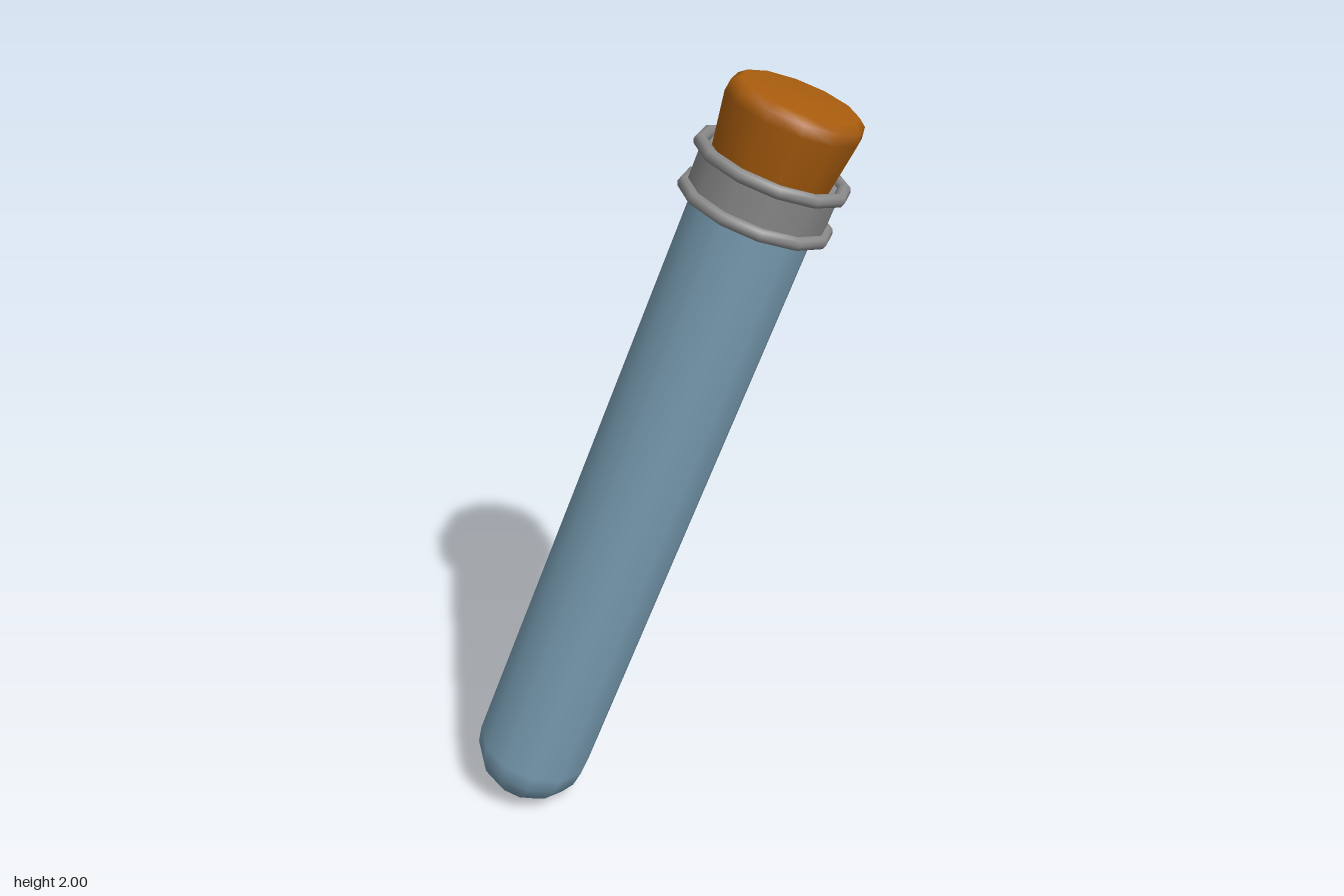
import * as THREE from 'three';

const SIDES = 12;

export function createModel() {
  const blue = new THREE.MeshStandardMaterial({ name: 'blueGlass', color: 0x7a9fb5 });
  const brown = new THREE.MeshStandardMaterial({ name: 'brownCork', color: 0xa85c0e });
  const grey = new THREE.MeshStandardMaterial({ name: 'greyMetal', color: 0x8a8a8a });

  const model = new THREE.Group();
  model.name = 'corkedTube';

  // The whole vial leans to +x about the centre of its round bottom
  const vial = new THREE.Group();
  vial.name = 'vial';
  vial.position.set(-0.32, 0.155, 0);
  vial.rotation.z = -THREE.MathUtils.degToRad(19.75);
  model.add(vial);

  const add = (name, geometry, material, y = 0) => {
    const mesh = new THREE.Mesh(geometry, material);
    mesh.name = name;
    mesh.position.y = y;
    vial.add(mesh);
    return mesh;
  };
  const lathe = (points) =>
    new THREE.LatheGeometry(points.map(([r, y]) => new THREE.Vector2(r, y)), SIDES);

  // Tube: hemispherical bottom and a long, barely tapered wall
  const profile = [];
  for (let i = 0; i <= 5; i++) {
    const a = (i / 5) * Math.PI / 2;
    profile.push([0.155 * Math.sin(a), -0.155 * Math.cos(a)]);
  }
  profile.push([0.15, 1.7]);
  add('tube', lathe(profile), blue);

  // Collar: a band with a rounded lip at each end
  add('collarBand', new THREE.CylinderGeometry(0.169, 0.169, 0.104, SIDES), grey, 1.692);
  for (const [name, y] of [['lowerLip', 1.64], ['upperLip', 1.744]]) {
    const lip = new THREE.TorusGeometry(0.173, 0.016, 8, SIDES).rotateX(Math.PI / 2);
    add(name, lip, grey, y);
  }

  // Cork: widens upwards, with a rounded top edge
  add('cork', lathe([
    [0.142, 1.72], [0.163, 1.868], [0.159, 1.895], [0.14, 1.91], [0, 1.916],
  ]), brown);

  return model;
}
